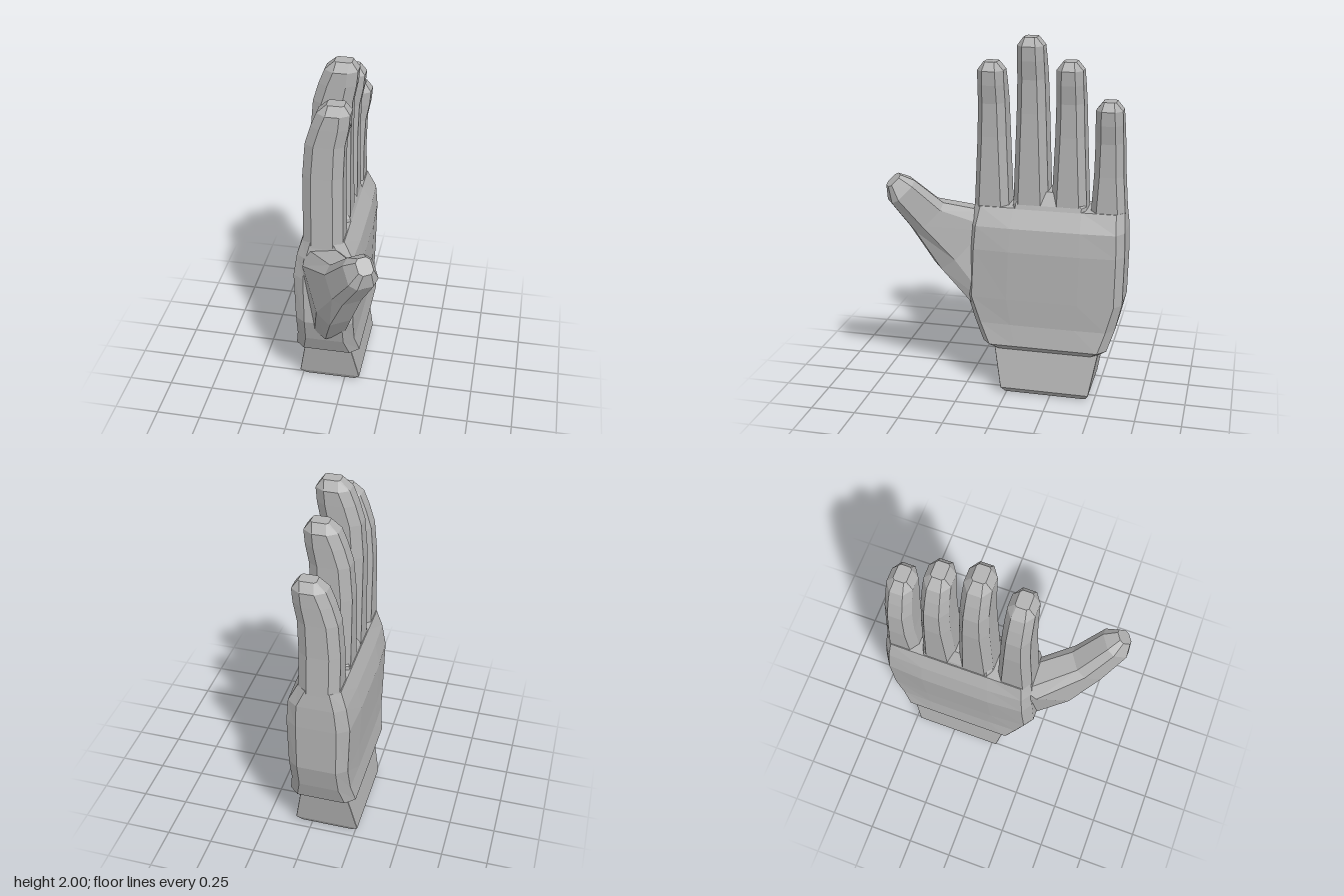
import * as THREE from 'three';

const X = new THREE.Vector3(1, 0, 0);
const Z = new THREE.Vector3(0, 0, 1);

// Chamfered rectangle around a centre: half sizes hx, hz, chamfers cx, cz,
// and an optional bulge of the two broad faces.
function section(centre, hx, hz, cx, cz, bulge = 0, ax = X, az = Z) {
  const m = hz * 0.45;
  const pts = [
    [hx, hz - cz], [hx + bulge, m], [hx + bulge, -m], [hx, cz - hz],
    [hx - cx, -hz], [cx - hx, -hz],
    [-hx, cz - hz], [-hx - bulge, -m], [-hx - bulge, m], [-hx, hz - cz],
    [cx - hx, hz], [hx - cx, hz],
  ];
  return pts.map(([x, z]) => centre.clone().addScaledVector(ax, x).addScaledVector(az, z));
}

// Upright section given by its limits
function slab(y, x0, x1, z0, z1, cx, cz, bulge = 0) {
  const centre = new THREE.Vector3((x0 + x1) / 2, y, (z0 + z1) / 2);
  return section(centre, (x1 - x0) / 2, (z1 - z0) / 2, cx, cz, bulge);
}

// Closed skin through a list of sections
function loft(rings) {
  const n = rings[0].length;
  const pos = rings.flat().flatMap((p) => [p.x, p.y, p.z]);
  const index = [];
  for (let i = 0; i < rings.length - 1; i++) {
    for (let j = 0; j < n; j++) {
      const a = i * n + j, b = i * n + (j + 1) % n;
      index.push(a, b, a + n, b, b + n, a + n);
    }
  }
  const top = (rings.length - 1) * n;
  for (let j = 1; j < n - 1; j++) {
    index.push(0, j + 1, j, top, top + j, top + j + 1);
  }
  const indexed = new THREE.BufferGeometry();
  indexed.setAttribute('position', new THREE.Float32BufferAttribute(pos, 3));
  indexed.setIndex(index);
  const geo = indexed.toNonIndexed();
  geo.computeVertexNormals();
  return geo;
}

export function createModel() {
  const group = new THREE.Group();
  const grey = new THREE.MeshStandardMaterial({ color: 0xb3b3b3, flatShading: true });
  grey.name = 'grey';

  const add = (name, rings) => {
    const mesh = new THREE.Mesh(loft(rings), grey);
    mesh.name = name;
    group.add(mesh);
  };

  // Wrist stub, square-cornered with a bevelled foot
  add('wrist', [
    slab(0, -0.23, 0.06, -0.45, 0.01, 0.002, 0.002),
    slab(0.035, -0.265, 0.09, -0.47, 0.03, 0.002, 0.002),
    slab(0.28, -0.22, 0.045, -0.515, 0.075, 0.002, 0.002),
  ]);

  // Palm
  add('palm', [
    slab(0.26, -0.225, 0.055, -0.51, 0.085, 0.03, 0.04),
    slab(0.3, -0.265, 0.1, -0.56, 0.135, 0.05, 0.045),
    slab(0.42, -0.245, 0.08, -0.6, 0.19, 0.055, 0.045, 0.004),
    slab(0.57, -0.24, 0.08, -0.635, 0.235, 0.055, 0.04, 0.01),
    slab(0.85, -0.25, 0.085, -0.64, 0.22, 0.06, 0.04, 0.012),
    slab(0.98, -0.23, 0.075, -0.637, 0.21, 0.055, 0.04, 0.008),
    slab(1.08, -0.2, 0.025, -0.628, 0.195, 0.05, 0.04),
  ]);

  // Raised web between the middle fingers
  add('knuckleWeb', [
    slab(1.0, -0.215, 0.05, -0.42, -0.02, 0.04, 0.02),
    slab(1.1, -0.19, 0.02, -0.42, -0.02, 0.04, 0.02),
    slab(1.17, -0.15, -0.02, -0.34, -0.06, 0.01, 0.01),
  ]);

  // Fingers: base height, tip height, centre z at base and tip
  const fingers = [
    ['indexFinger', 1.04, 1.865, 0.103, 0.1],
    ['middleFinger', 1.08, 2.0, -0.115, -0.113],
    ['ringFinger', 1.06, 1.88, -0.325, -0.322],
    ['littleFinger', 1.0, 1.68, -0.537, -0.533],
  ];
  for (const [name, base, tip, zb, zt] of fingers) {
    const ring = (y, x0, x1, hw, cx, cz) => {
      const t = (y - base) / (tip - base);
      const z = zb + (zt - zb) * t;
      return slab(y, x0, x1, z - hw, z + hw, cx, cz);
    };
    add(name, [
      ring(base, -0.195, 0.02, 0.097, 0.05, 0.035),
      ring(tip - 0.4, -0.195, 0.018, 0.079, 0.05, 0.035),
      ring(tip - 0.22, -0.18, 0.025, 0.074, 0.05, 0.035),
      ring(tip - 0.12, -0.15, 0.045, 0.072, 0.05, 0.035),
      ring(tip - 0.045, -0.12, 0.052, 0.07, 0.05, 0.035),
      ring(tip, -0.07, 0.02, 0.035, 0.01, 0.01),
    ]);
  }

  // Thumb, lofted along a slanted axis
  const dir = new THREE.Vector3(0.37, 0.74, 0.56).normalize();
  const side = new THREE.Vector3(0.56, 0, -0.37).normalize();
  const depth = new THREE.Vector3().crossVectors(side, dir);
  const thumb = [
    [-0.09, 0.56, 0.09, 0.1, 0.16],
    [-0.04, 0.87, 0.26, 0.11, 0.215],
    [0.085, 1.03, 0.44, 0.095, 0.108],
    [0.18, 1.19, 0.55, 0.08, 0.085],
    [0.205, 1.25, 0.583, 0.04, 0.045],
  ];
  add('thumb', thumb.map(([x, y, z, hx, hz]) =>
    section(new THREE.Vector3(x, y, z), hx, hz, hx * 0.45, hz * 0.4, 0, side, depth)));

  return group;
}
